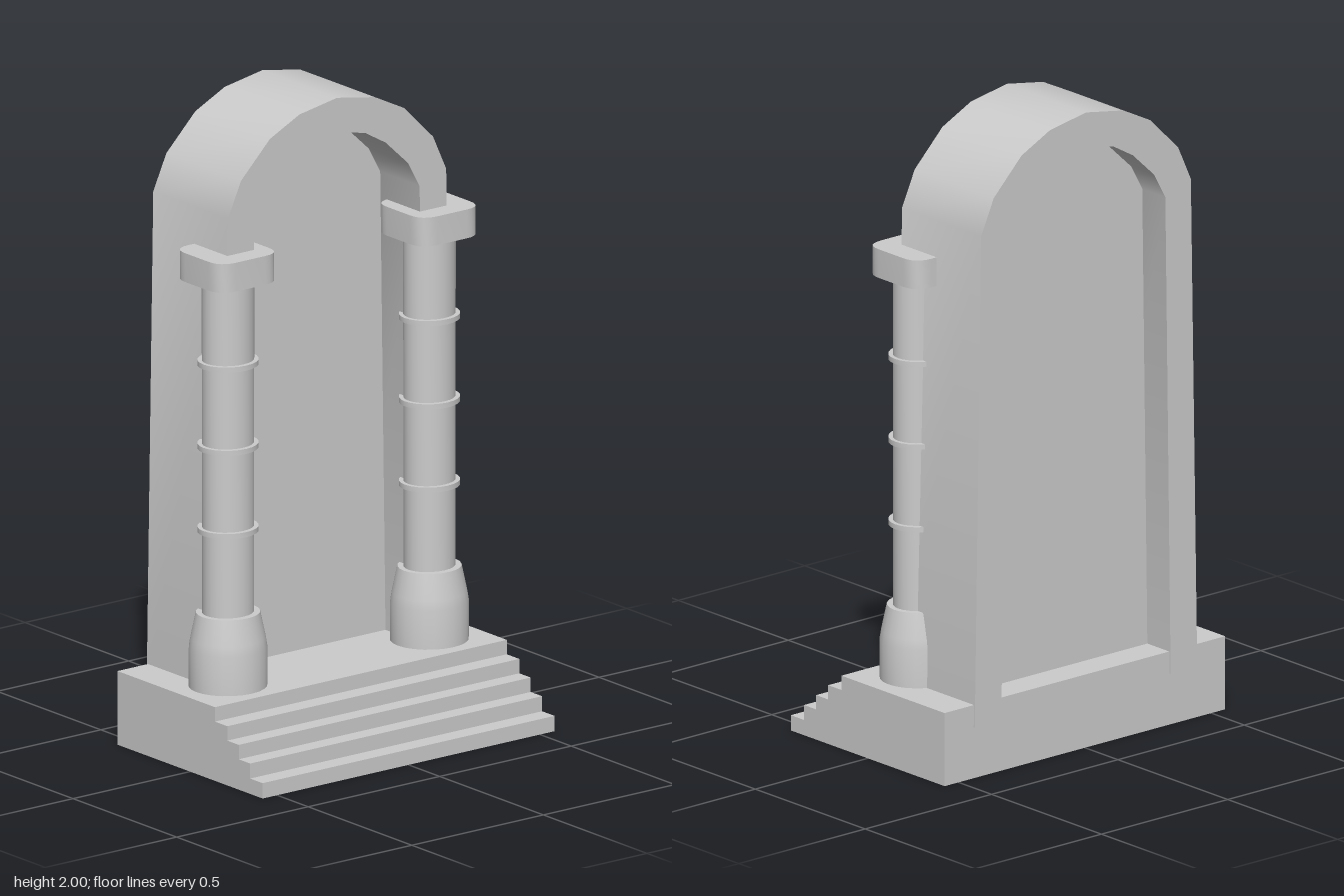
import * as THREE from 'three';
import { toCreasedNormals } from 'three/addons/utils/BufferGeometryUtils.js';

const material = new THREE.MeshStandardMaterial({ color: 0xcccccc });

function part(name, geometry, crease = 0.65) {
  const mesh = new THREE.Mesh(toCreasedNormals(geometry, crease), material);
  mesh.name = name;
  return mesh;
}

// Mirrors a half outline, listed from the right foot up to the crown
function mirrored(half) {
  const left = half.slice(0, -1).reverse().map(([x, y]) => [-x, y]);
  return [...half, ...left];
}

function extrude(points, depth) {
  const shape = new THREE.Shape(points.map(([x, y]) => new THREE.Vector2(x, y)));
  return new THREE.ExtrudeGeometry(shape, { depth, bevelEnabled: false });
}

// Extrudes a z-y outline between two x positions
function extrudeAlongX(points, x0, x1) {
  return extrude(points, x1 - x0).rotateY(Math.PI / 2).translate(x0, 0, 0);
}

// Solid of revolution from [radius, height] points
function lathe(points) {
  return new THREE.LatheGeometry(points.map(([r, y]) => new THREE.Vector2(r, y)), 24);
}

// Rounded slab for the column heads
function capitalGeometry() {
  const a = 0.115, r = 0.06;
  const s = new THREE.Shape();
  s.moveTo(-a + r, -a);
  s.lineTo(a - r, -a);
  s.quadraticCurveTo(a, -a, a, -a + r);
  s.lineTo(a, a - r);
  s.quadraticCurveTo(a, a, a - r, a);
  s.lineTo(-a + r, a);
  s.quadraticCurveTo(-a, a, -a, a - r);
  s.lineTo(-a, -a + r);
  s.quadraticCurveTo(-a, -a, -a + r, -a);
  return new THREE.ExtrudeGeometry(s, { depth: 0.09, bevelEnabled: false, curveSegments: 6 })
    .rotateX(-Math.PI / 2);
}

function createColumn(name) {
  const column = new THREE.Group();
  column.name = name;

  const foot = part('columnFoot', lathe([
    [0, 0.22], [0.12, 0.22], [0.12, 0.35], [0.115, 0.38], [0.098, 0.46], [0, 0.46],
  ]));
  foot.scale.x = 0.96;
  column.add(foot);

  const shaft = part('columnShaft', lathe([[0, 0.45], [0.081, 0.45], [0.082, 1.5], [0, 1.5]]));
  shaft.scale.x = 0.9;
  column.add(shaft);

  // Thin bands around the shaft
  for (const y of [0.72, 0.98, 1.24]) {
    const band = part('columnBand', lathe([
      [0, y - 0.008], [0.094, y - 0.008], [0.094, y + 0.008], [0, y + 0.008],
    ]));
    band.scale.x = 0.94;
    column.add(band);
  }

  const capital = part('columnCapital', capitalGeometry());
  capital.position.set(-0.005, 1.495, 0);
  column.add(capital);
  return column;
}

export function createModel() {
  const model = new THREE.Group();
  model.name = 'archedDoorway';

  // Platform with steps descending toward +x
  const steps = [[0.12, 0.23], [0.18, 0.185], [0.235, 0.14], [0.29, 0.095], [0.35, 0.048]];
  const profile = [[-0.35, 0], [-0.35, 0.23]];
  steps.forEach(([x, y], i) => {
    profile.push([x, y], [x, i < steps.length - 1 ? steps[i + 1][1] : 0]);
  });
  model.add(part('steppedPlatform', extrude(profile, 1.11).translate(0, 0, -0.555)));

  // Arch frame: outer outline one way, inner outline back
  const outer = [[0.44, 0.16], [0.415, 1.7], [0.365, 1.81], [0.255, 1.92], [0.143, 1.975], [0, 2]];
  const inner = [[0.335, 0.16], [0.314, 1.665], [0.27, 1.745], [0.185, 1.825], [0.107, 1.87], [0, 1.893]];
  const frame = [...mirrored(outer), ...mirrored(inner).reverse()];
  model.add(part('archFrame', extrudeAlongX(frame, -0.355, 0.005)));

  // Door panel recessed inside the arch
  model.add(part('doorPanel', extrudeAlongX(mirrored(inner), -0.25, -0.185)));

  // Columns flanking the opening
  for (const [side, name] of [[1, 'leftColumn'], [-1, 'rightColumn']]) {
    const column = createColumn(name);
    column.position.set(-0.035, 0, side * 0.383);
    model.add(column);
  }
  return model;
}
